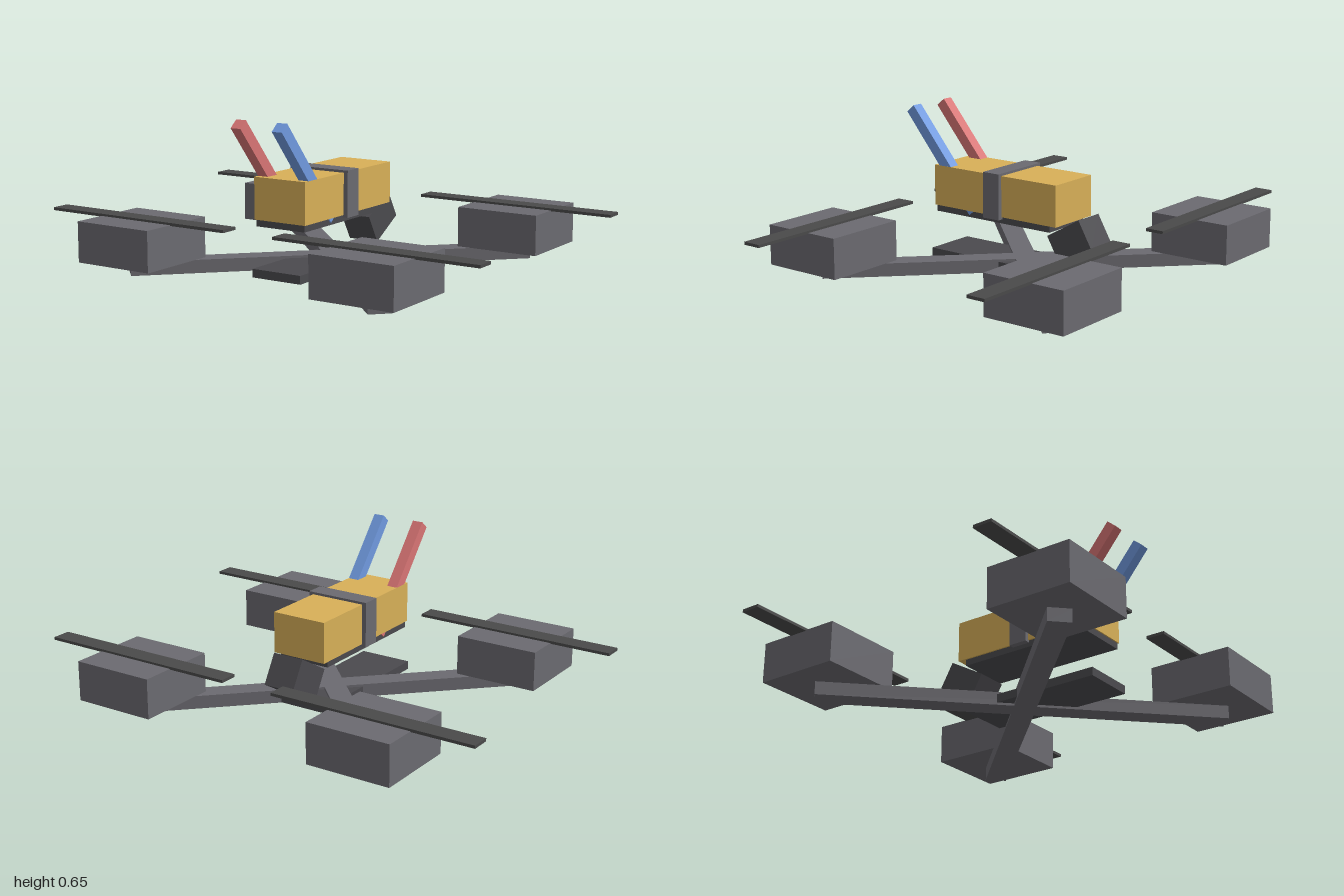
import * as THREE from 'three';

const material = (color) => new THREE.MeshStandardMaterial({ color, flatShading: true });

export function createModel() {
  const model = new THREE.Group();
  model.name = 'quadcopter';

  const frameGrey = material(0x6b6a70);
  const carbon = material(0x4b4a4e);
  const propGrey = material(0x4a4a4a);
  const yellow = material(0xd8b058);
  const red = material(0xd97575);
  const blue = material(0x709ae0);

  // Box given by its size and centre
  function box(name, size, centre, mat) {
    const mesh = new THREE.Mesh(new THREE.BoxGeometry(...size), mat);
    mesh.name = name;
    mesh.position.set(...centre);
    model.add(mesh);
    return mesh;
  }

  // Crossed arms
  for (const side of [-1, 1]) {
    const arm = box('arm', [1.676, 0.055, 0.092], [0, 0.0275, 0], frameGrey);
    arm.rotation.y = side * Math.PI / 4;
  }

  // Motor and propeller at each arm end
  for (const sx of [-1, 1]) {
    for (const sz of [-1, 1]) {
      box('motor', [0.36, 0.168, 0.36], [sx * 0.557, 0.139, sz * 0.557], frameGrey);
      box('propeller', [0.884, 0.012, 0.08], [sx * 0.558, 0.226, sz * 0.557], propGrey);
    }
  }

  // Frame plates
  box('bottomPlate', [0.23, 0.035, 0.62], [0, 0.0275, 0.1], carbon);
  box('topPlate', [0.23, 0.027, 0.59], [0, 0.225, 0.085], carbon);

  // Battery and its strap
  box('battery', [0.242, 0.172, 0.63], [0, 0.325, 0.07], yellow);
  box('batteryStrap', [0.28, 0.192, 0.08], [0, 0.325, 0.07], frameGrey);

  // Tilted camera at the rear
  const camera = box('cameraBody', [0.138, 0.133, 0.178], [0, 0.168, -0.275], carbon);
  camera.rotation.x = Math.PI / 6;

  // Pair of leaning antennas
  for (const [side, mat] of [[-1, red], [1, blue]]) {
    const antenna = box('antenna', [0.047, 0.52, 0.047], [side * 0.097, 0.436, 0.35], mat);
    antenna.rotation.x = THREE.MathUtils.degToRad(40);
  }

  return model;
}
